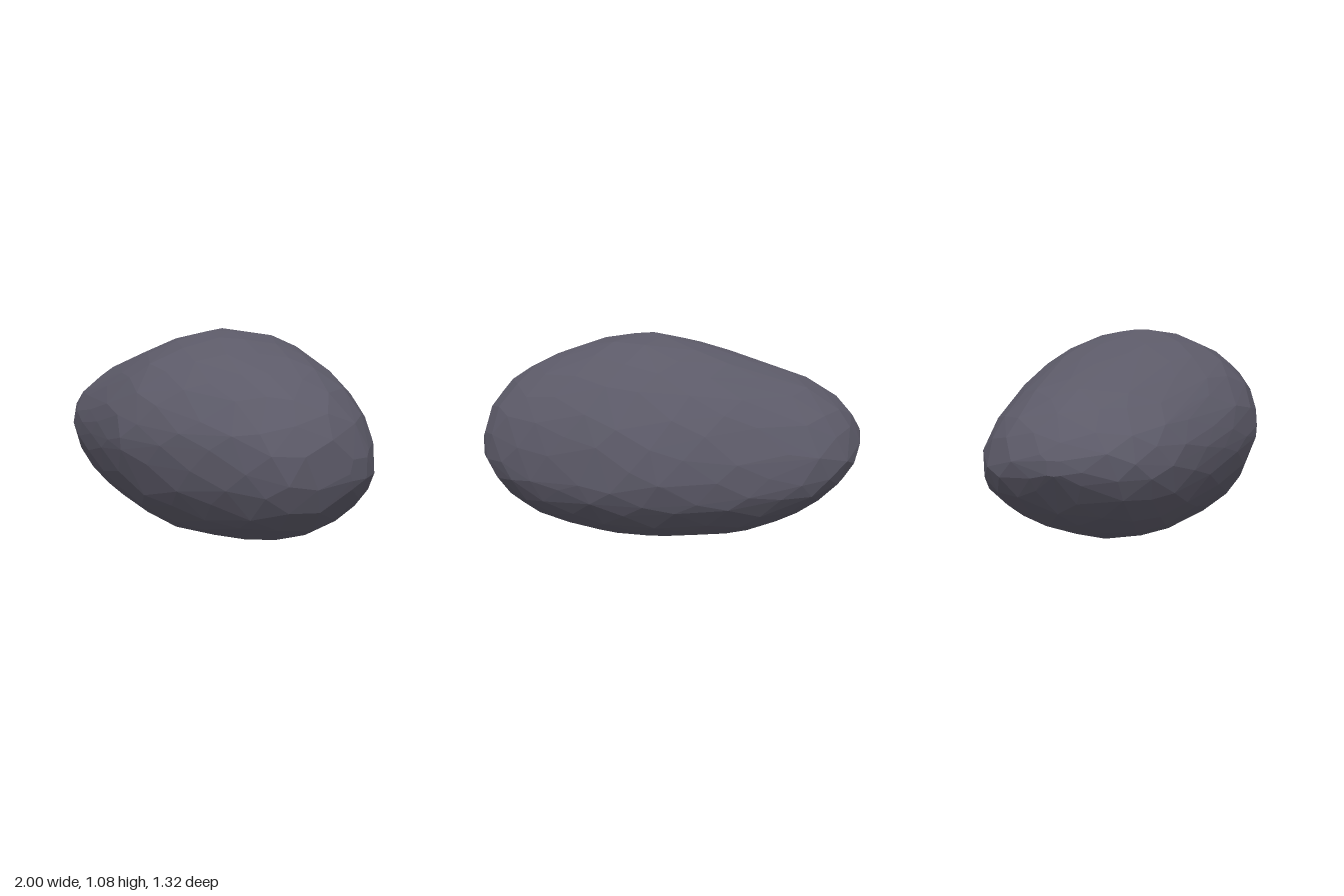
import * as THREE from 'three';
import { ConvexGeometry } from 'three/addons/geometries/ConvexGeometry.js';

// Stations along the boulder: x, bottom y, top y, back z, front z
const STATIONS = [
  [-1.0, 0.50, 0.59, -0.09, 0.00],
  [-0.95, 0.43, 0.67, -0.30, 0.20],
  [-0.86, 0.30, 0.76, -0.43, 0.33],
  [-0.69, 0.17, 0.86, -0.55, 0.44],
  [-0.50, 0.08, 0.92, -0.60, 0.51],
  [-0.30, 0.03, 0.99, -0.65, 0.57],
  [-0.13, 0.02, 1.04, -0.66, 0.62],
  [0.08, 0.00, 1.08, -0.66, 0.66],
  [0.28, 0.02, 1.07, -0.62, 0.63],
  [0.40, 0.03, 1.04, -0.58, 0.61],
  [0.68, 0.10, 0.94, -0.43, 0.51],
  [0.83, 0.18, 0.85, -0.32, 0.42],
  [0.92, 0.27, 0.76, -0.23, 0.34],
  [0.97, 0.36, 0.68, -0.16, 0.23],
  [1.0, 0.43, 0.57, -0.08, 0.06],
];

function sectionAt(x) {
  let i = 0;
  while (i < STATIONS.length - 2 && x > STATIONS[i + 1][0]) i++;
  const a = STATIONS[i], b = STATIONS[i + 1];
  const t = (x - a[0]) / (b[0] - a[0]);
  return a.map((v, k) => THREE.MathUtils.lerp(v, b[k], t));
}

// Each section is made of four quarter ellipses; its front side sits higher than its back
function surfacePoint(x, angle) {
  const [, bottom, top, back, front] = sectionAt(x);
  const c = Math.cos(angle), s = Math.sin(angle);
  const midZ = (back + front) / 2;
  const z = midZ + c * (front - back) / 2;
  const midY = (bottom + top) / 2 - 0.03 + 0.07 * c * (top - bottom);
  const y = midY + s * (s > 0 ? top - midY : midY - bottom);
  return new THREE.Vector3(x, y, z);
}

export function createModel() {
  const group = new THREE.Group();
  group.name = 'boulder';

  let seed = 17;
  const random = () => (seed = (seed * 16807) % 2147483647) / 2147483647;

  // Points spread evenly over the surface with a little jitter
  const points = [];
  const count = 270;
  for (let i = 0; i < count; i++) {
    const x = 1 - 2 * (i + 0.5 + (random() - 0.5) * 1.5) / count;
    const angle = i * 2.399963 + (random() - 0.5) * 0.13;
    points.push(surfacePoint(THREE.MathUtils.clamp(x, -1, 1), angle));
  }
  // Blunt tips and the outermost points
  for (let k = 0; k < 4; k++) {
    const angle = (k + 0.5) * Math.PI / 2;
    points.push(surfacePoint(-1, angle), surfacePoint(1, angle));
    points.push(surfacePoint(0.08, k * Math.PI / 2));
  }

  // Faceted hull
  const stone = new THREE.MeshStandardMaterial({ color: 0x5c5a68, flatShading: true });
  stone.name = 'dark stone';
  const rock = new THREE.Mesh(new ConvexGeometry(points), stone);
  rock.name = 'rock';
  group.add(rock);
  return group;
}
